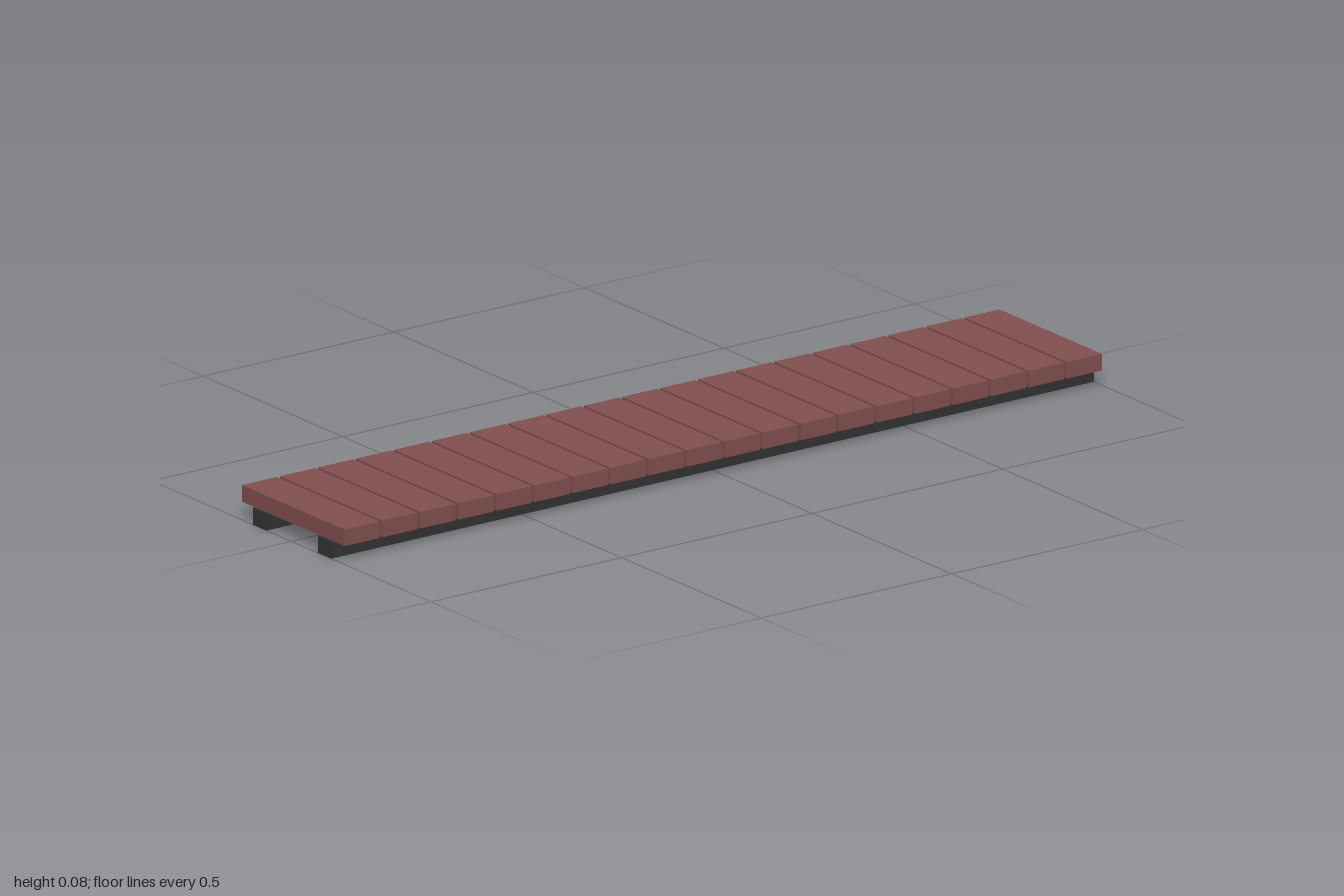
import * as THREE from 'three';

export function createModel() {
  const model = new THREE.Group();
  model.name = 'plankWalkway';

  const plankMaterial = new THREE.MeshStandardMaterial({ color: 0x824f4f });
  plankMaterial.name = 'red brown wood';
  const railMaterial = new THREE.MeshStandardMaterial({ color: 0x333333 });
  railMaterial.name = 'dark grey beam';

  const addBox = (parent, name, size, position, material) => {
    const mesh = new THREE.Mesh(new THREE.BoxGeometry(...size), material);
    mesh.name = name;
    mesh.position.set(...position);
    parent.add(mesh);
  };

  // Two long beams resting on the ground
  const railHeight = 0.038;
  addBox(model, 'frontBeam', [2, railHeight, 0.048], [0, railHeight / 2, 0.119], railMaterial);
  addBox(model, 'backBeam', [2, railHeight, 0.048], [0, railHeight / 2, -0.113], railMaterial);

  // Evenly spaced cross planks with narrow gaps
  const planks = new THREE.Group();
  planks.name = 'planks';
  const count = 20, pitch = 0.0997, width = 0.092, thickness = 0.037;
  for (let i = 0; i < count; i++) {
    const x = (i - (count - 1) / 2) * pitch - 0.002;
    addBox(planks, `plank${i + 1}`, [width, thickness, 0.368], [x, railHeight + thickness / 2, 0], plankMaterial);
  }
  model.add(planks);

  return model;
}
